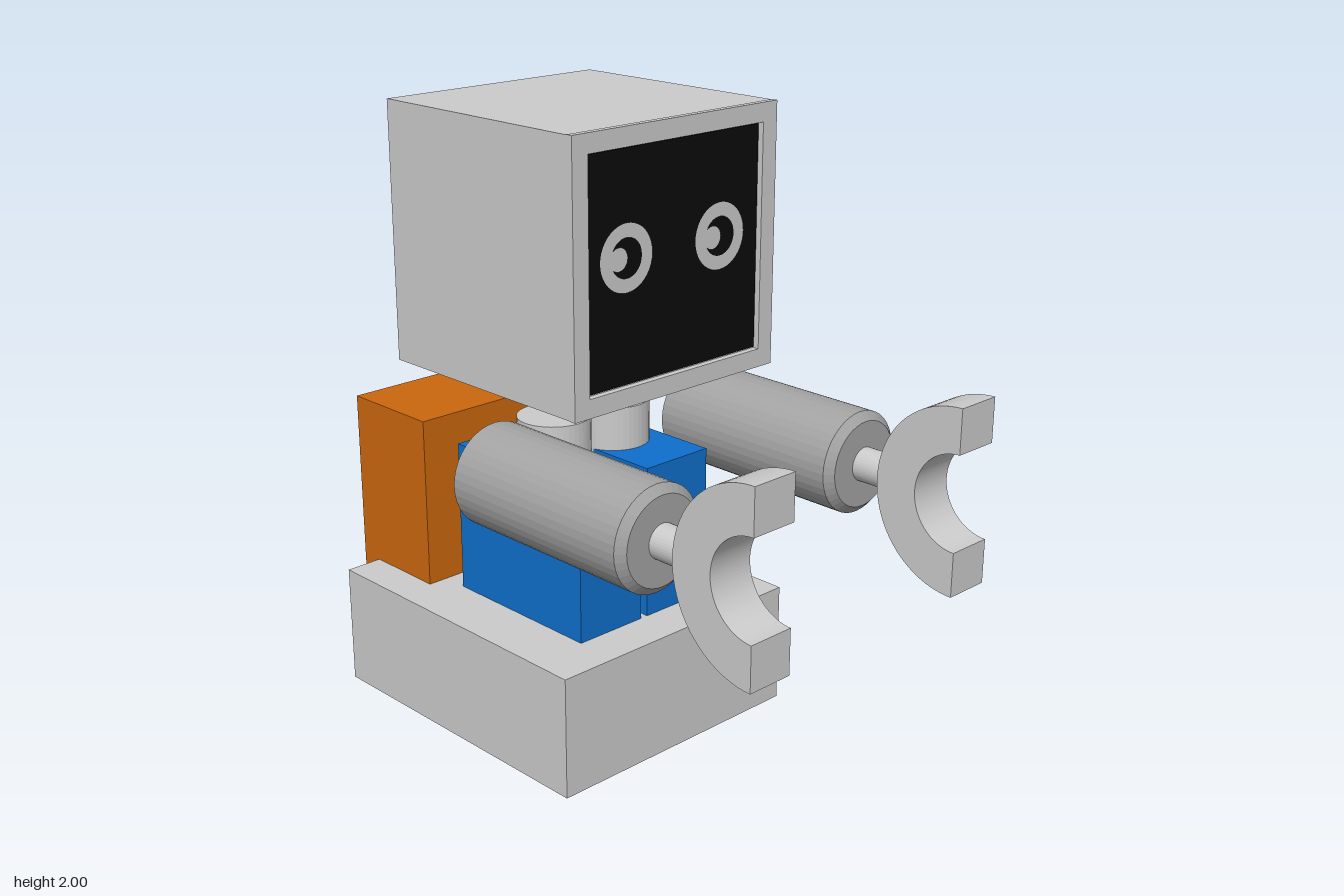
import * as THREE from 'three';

const mat = (name, color) => {
  const m = new THREE.MeshStandardMaterial({ color });
  m.name = name;
  return m;
};

export function createModel() {
  const light = mat('lightGrey', 0xcbcbcb);
  const dark = mat('midGrey', 0xa3a3a3);
  const blue = mat('blue', 0x0f6fcc);
  const orange = mat('orange', 0xcb670e);
  const black = mat('black', 0x0b0b0b);

  const model = new THREE.Group();
  model.name = 'robot';

  const add = (name, geometry, material, x = 0, y = 0, z = 0, parent = model) => {
    const mesh = new THREE.Mesh(geometry, material);
    mesh.name = name;
    mesh.position.set(x, y, z);
    parent.add(mesh);
    return mesh;
  };
  // Box given by its extents on each axis
  const box = (name, material, [x0, x1], [y0, y1], [z0, z1]) =>
    add(name, new THREE.BoxGeometry(x1 - x0, y1 - y0, z1 - z0), material,
      (x0 + x1) / 2, (y0 + y1) / 2, (z0 + z1) / 2);
  // Faceted look for round parts
  const faceted = (geometry) => {
    const g = geometry.toNonIndexed();
    g.computeVertexNormals();
    return g;
  };
  const cylinder = (r, length) => faceted(new THREE.CylinderGeometry(r, r, length, 40));

  // Base with a roller underneath
  box('base', light, [-0.84, 0.21], [0.08, 0.465], [-0.415, 0.487]);
  add('roller', cylinder(0.105, 0.455).rotateX(Math.PI / 2), dark, -0.08, 0.105, 0.038);

  // Backpack
  box('backpack', orange, [-0.915, -0.57], [0.4, 1.01], [-0.29, 0.366]);

  // Twin torso blocks, each with a neck post
  for (const [z0, z1, neckZ] of [[0.055, 0.3, 0.163], [-0.22, 0.03, -0.078]]) {
    box('torsoBlock', blue, [-0.485, 0.07], [0.44, 0.945], [z0, z1]);
    add('neckPost', cylinder(0.112, 0.16), light, -0.193, 1.0, neckZ);
  }

  // Arms: chamfered sleeve, wrist rod and C-shaped claw
  const sleeveProfile = [[0, -0.165], [0.157, -0.165], [0.157, 0.5], [0.132, 0.523], [0, 0.523]]
    .map(([r, y]) => new THREE.Vector2(r, y));
  const sleeveGeo = faceted(new THREE.LatheGeometry(sleeveProfile, 40)).rotateZ(-Math.PI / 2);
  const rodGeo = cylinder(0.052, 0.16).rotateZ(-Math.PI / 2);
  const clawShape = new THREE.Shape();
  clawShape.absarc(0, 0, 0.282, Math.PI / 2, Math.PI * 1.5, false);
  clawShape.absarc(0, 0, 0.146, Math.PI * 1.5, Math.PI / 2, true);
  clawShape.closePath();
  const clawGeo = new THREE.ExtrudeGeometry(clawShape, { depth: 0.148, bevelEnabled: false, curveSegments: 24 });
  clawGeo.translate(0, 0, -0.074);
  for (const [name, z] of [['frontArm', 0.41], ['rearArm', -0.418]]) {
    const arm = new THREE.Group();
    arm.name = name;
    arm.position.set(0, 0.967, z);
    model.add(arm);
    add('sleeve', sleeveGeo, dark, 0, 0, 0, arm);
    add('wristRod', rodGeo, light, 0.58, 0, 0, arm);
    add('claw', clawGeo, light, 0.914, 0.005, 0, arm);
  }

  // Head: local +z is the face direction, turned towards +x
  const head = new THREE.Group();
  head.name = 'head';
  head.position.set(-0.197, 1.609, 0.035);
  head.rotation.y = Math.PI / 2;
  model.add(head);
  const square = (s, Type) => new Type([
    new THREE.Vector2(-s, -s), new THREE.Vector2(s, -s),
    new THREE.Vector2(s, s), new THREE.Vector2(-s, s)]);
  add('headBlock', new THREE.BoxGeometry(0.784, 0.782, 0.772), light, 0, 0, -0.01, head);
  const frame = square(0.392, THREE.Shape);
  frame.holes.push(square(0.336, THREE.Path));
  add('screenFrame', new THREE.ExtrudeGeometry(frame, { depth: 0.02, bevelEnabled: false }),
    light, 0, 0, 0.376, head);
  add('screen', new THREE.BoxGeometry(0.662, 0.662, 0.006), black, 0, 0, 0.379, head);

  // Eyes: ring with a highlight joined to its inner edge
  for (const x of [-0.188, 0.175]) {
    add('eyeRing', new THREE.RingGeometry(0.057, 0.098, 40), light, x, 0.031, 0.385, head);
    add('eyeHighlight', new THREE.CircleGeometry(0.034, 24), light, x - 0.03, 0.031, 0.3855, head);
  }
  return model;
}
